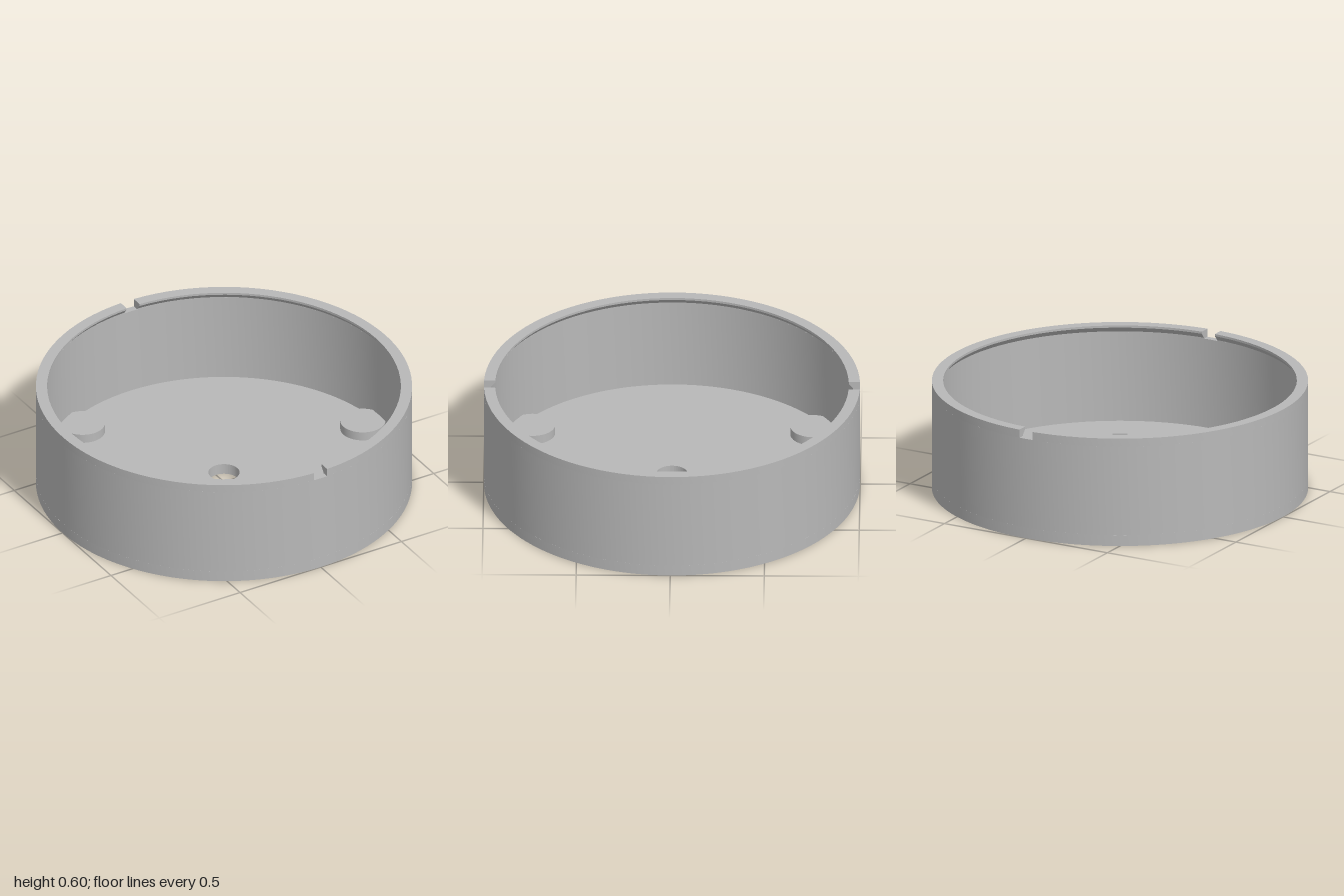
import * as THREE from 'three';
import { toCreasedNormals } from 'three/addons/utils/BufferGeometryUtils.js';

const SEG = 96;
const FLOOR = 0.06, NOTCH_Y = 0.555, TOP = 0.6;
const R_OUT = 1, R_IN = 0.963, R_LIP = 0.94;
const NOTCH_HALF = 0.04;
const BOSS_RING = 0.86, BOSS_R = 0.12, HOLE_R = 0.083;

export function createModel() {
  const group = new THREE.Group();
  const grey = new THREE.MeshStandardMaterial({ color: 0xb8b8b8 });
  const vec = (pts) => pts.map(([x, y]) => new THREE.Vector2(x, y));

  function add(parent, name, geometry) {
    const mesh = new THREE.Mesh(toCreasedNormals(geometry, 0.5), grey);
    mesh.name = name;
    parent.add(mesh);
    return mesh;
  }

  const bossAngles = [0, 1, 2].map((i) => (i * 2 * Math.PI) / 3);
  const circle = (x, y, r) => new THREE.Path().absarc(x, y, r, 0, 2 * Math.PI, true);

  // Floor disc with the centre hole, three recess mouths and a slanted slot
  const disc = new THREE.Shape().absarc(0, 0, R_OUT, 0, 2 * Math.PI, false);
  disc.holes.push(circle(0, 0, HOLE_R));
  for (const a of bossAngles) {
    disc.holes.push(circle(BOSS_RING * Math.cos(a), BOSS_RING * Math.sin(a), HOLE_R));
  }
  const slotAngle = -Math.PI / 3;
  const slot = vec([[0.68, -0.04], [0.68, 0.04], [0.742, 0.04], [0.742, -0.04]])
    .map((p) => p.rotateAround(new THREE.Vector2(), slotAngle));
  disc.holes.push(new THREE.Path(slot));
  const floor = new THREE.ExtrudeGeometry(disc, { depth: FLOOR, bevelEnabled: false, curveSegments: SEG });
  floor.rotateX(-Math.PI / 2);
  add(group, 'floor', floor);

  // Side wall up to the notch level
  add(group, 'wall', new THREE.LatheGeometry(vec([
    [R_OUT, FLOOR], [R_OUT, NOTCH_Y], [R_IN, NOTCH_Y], [R_IN, FLOOR],
  ]), SEG));

  // Overhanging rim in two halves, leaving a straight-sided notch front and back
  const rim = [[R_OUT, NOTCH_Y], [R_OUT, TOP], [R_LIP, TOP], [R_LIP, 0.588], [R_IN, 0.56], [R_IN, NOTCH_Y]];
  const gap = Math.asin(NOTCH_HALF);
  for (const side of ['left', 'right']) {
    const half = new THREE.Group();
    half.name = side + 'RimHalf';
    const arc = new THREE.LatheGeometry(vec(rim), SEG / 2, gap, Math.PI - 2 * gap);
    const pos = arc.attributes.position;
    const last = pos.count - rim.length;
    for (let i = 0; i < pos.count; i++) {
      if (i >= rim.length && i < last) continue;
      const r = Math.hypot(pos.getX(i), pos.getZ(i));
      pos.setX(i, NOTCH_HALF);
      pos.setZ(i, Math.sign(pos.getZ(i)) * Math.sqrt(r * r - NOTCH_HALF ** 2));
    }
    add(half, 'rim', arc);

    // Flat notch cheeks facing the gap
    for (const s of [1, -1]) {
      const section = rim.map(([r, y]) => [-s * -Math.sqrt(r * r - NOTCH_HALF ** 2), y]);
      const cheek = new THREE.ShapeGeometry(new THREE.Shape(vec(section)));
      cheek.rotateY(-Math.PI / 2);
      cheek.translate(NOTCH_HALF, 0, 0);
      add(half, 'notchCheek', cheek);
    }
    if (side === 'right') half.rotation.y = Math.PI;
    group.add(half);
  }

  // Raised bosses, hollow from below
  for (const a of bossAngles) {
    const boss = add(group, 'boss', new THREE.LatheGeometry(vec([
      [HOLE_R, FLOOR], [BOSS_R, FLOOR], [BOSS_R, 0.11], [0, 0.11],
    ]), 48));
    const recess = add(group, 'bossRecess', new THREE.LatheGeometry(vec([
      [0, 0.08], [HOLE_R, 0.08], [HOLE_R, FLOOR],
    ]), SEG));
    for (const m of [boss, recess]) m.position.set(BOSS_RING * Math.cos(a), 0, -BOSS_RING * Math.sin(a));
  }

  return group;
}
